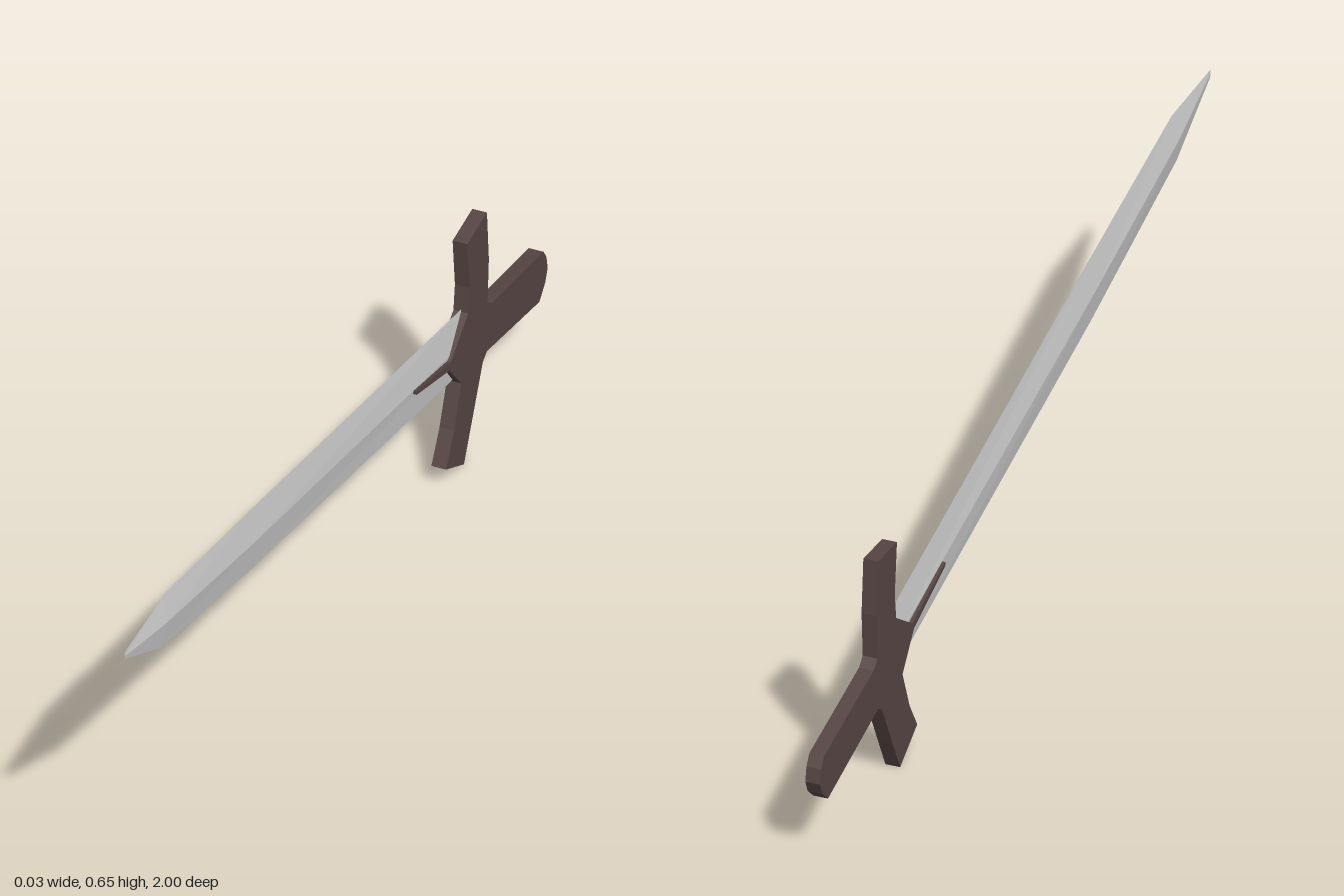
import * as THREE from 'three';

// Diamond-section blade lofted from slanted stations: [top z, top y, bottom z, bottom y, half thickness]
function bladeGeometry() {
  const stations = [
    [-0.63, 0.347, -0.60, 0.207, 0.008],
    [0.40, 0.569, 0.40, 0.428, 0.011],
    [0.805, 0.652, 0.83, 0.54, 0.011],
    [1.0, 0.645, 0.998, 0.628, 0.001],
  ];
  const pos = [];
  const index = [];
  for (const [tz, ty, bz, by, h] of stations) {
    const mz = (tz + bz) / 2, my = (ty + by) / 2;
    pos.push(0, ty, tz, h, my, mz, 0, by, bz, -h, my, mz);
  }
  for (let i = 0; i < stations.length - 1; i++) {
    for (let j = 0; j < 4; j++) {
      const a = i * 4 + j, b = i * 4 + (j + 1) % 4;
      index.push(a, a + 4, b + 4, a, b + 4, b);
    }
  }
  // End caps
  const e = (stations.length - 1) * 4;
  index.push(0, 1, 2, 0, 2, 3, e, e + 2, e + 1, e, e + 3, e + 2);
  const g = new THREE.BufferGeometry();
  g.setAttribute('position', new THREE.Float32BufferAttribute(pos, 3));
  g.setIndex(index);
  const flat = g.toNonIndexed();
  flat.computeVertexNormals();
  return flat;
}

// Flat hilt silhouette, drawn as (z, y) and extruded across x
function hiltGeometry() {
  const outline = [
    // upper guard arm
    [-0.617, 0.345], [-0.624, 0.40], [-0.613, 0.51], [-0.708, 0.52], [-0.717, 0.405], [-0.711, 0.308], [-0.73, 0.292],
    // grip with rounded end
    [-0.98, 0.243], [-0.994, 0.222], [-1.0, 0.192], [-0.988, 0.165], [-0.96, 0.139],
    // lower guard arm
    [-0.708, 0.195], [-0.688, 0.183], [-0.64, 0.088], [-0.597, 0.005], [-0.511, 0.051], [-0.55, 0.115], [-0.585, 0.203],
    // spike lying along the blade
    [-0.527, 0.272], [-0.37, 0.322], [-0.37, 0.33], [-0.535, 0.287],
  ].map(([z, y]) => new THREE.Vector2(z, y));
  const depth = 0.03;
  const g = new THREE.ExtrudeGeometry(new THREE.Shape(outline), { depth, bevelEnabled: false });
  g.translate(0, 0, -depth / 2);
  g.rotateY(-Math.PI / 2);
  return g;
}

export function createModel() {
  const sword = new THREE.Group();
  sword.name = 'sword';
  const add = (name, geometry, color) => {
    const mesh = new THREE.Mesh(geometry, new THREE.MeshStandardMaterial({ color, flatShading: true }));
    mesh.name = name;
    sword.add(mesh);
  };
  add('blade', bladeGeometry(), 0xcccccc);
  add('hilt', hiltGeometry(), 0x564544);
  return sword;
}
